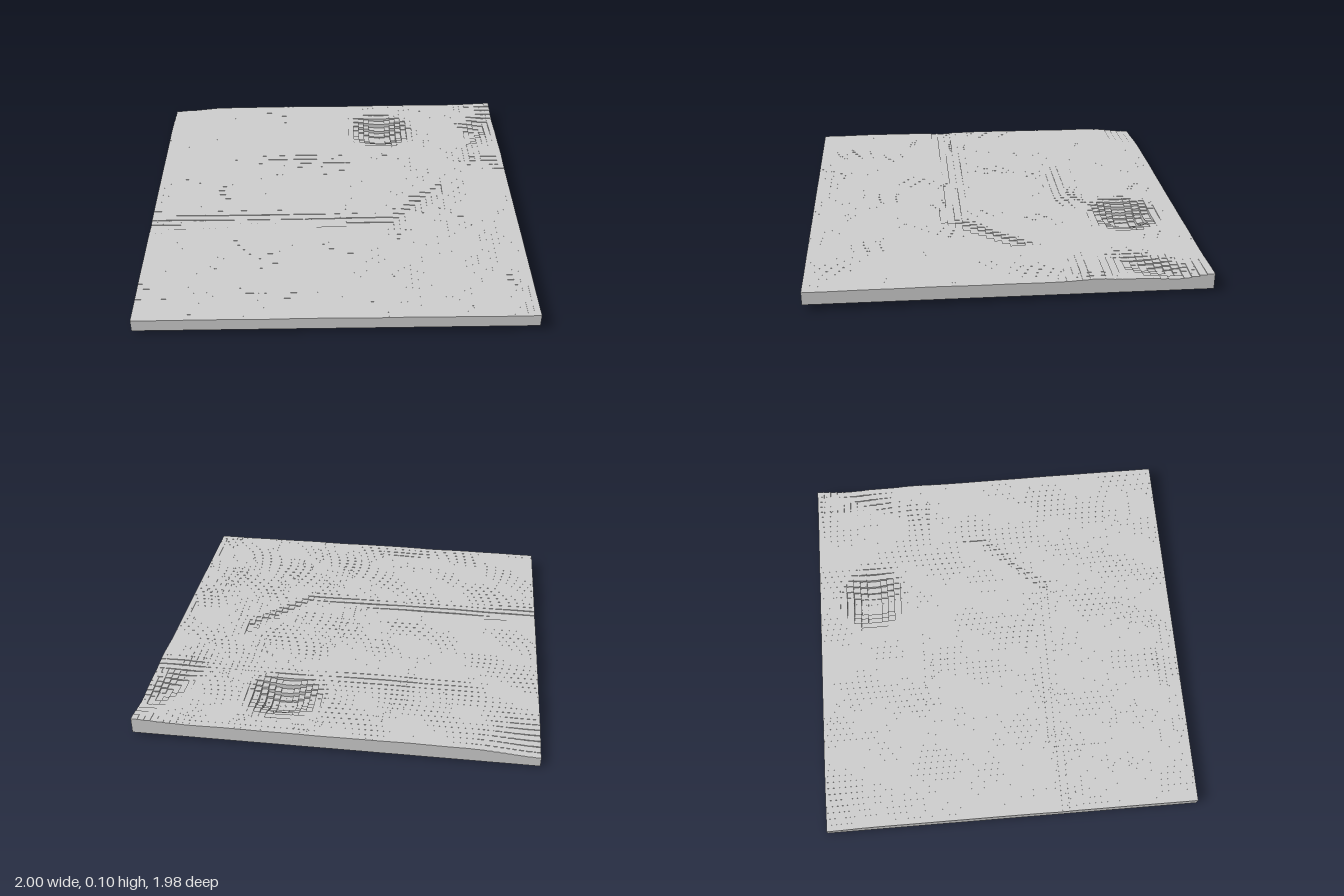
import * as THREE from 'three';

const COLS = 62, ROWS = 52, HALF_X = 1, HALF_Z = 0.99;
const OUTSIDE = 0.035; // level used beyond the border so rim walls close up

const bump = (x, z, cx, cz, rx, rz) =>
  Math.exp(-(((x - cx) / rx) ** 2) - ((z - cz) / rz) ** 2);

// Gently tilted underside
const underside = (x, z) => 0.017 + 0.008 * x + 0.009 * z;

// Rolling ground with a deep pit, a corner valley, ridges and a shallow gully
function ground(x, z) {
  let h = 0.087 + 0.008 * x + 0.006 * z;
  h += 0.0015 * Math.sin(7 * x + 2 * z) * Math.cos(6 * z - 3 * x);
  h += 0.001 * Math.sin(17 * x - 5 * z) * Math.sin(13 * z + 4 * x);
  const gullyZ = x < 0.3 ? 0.23 + 0.03 * Math.sin(4 * x) : 0.25 - 1.1 * (x - 0.3);
  if (x < 0.6) h -= 0.008 * Math.exp(-(((z - gullyZ) / 0.05) ** 2));
  h += 0.007 * bump(x, z, -0.2, -0.44, 0.3, 0.07);
  h += 0.010 * bump(x, z, 0.9, -0.42, 0.16, 0.09);
  h += 0.010 * bump(x, z, 1, -1, 0.15, 0.1);
  h -= 0.022 * bump(x, z, 0.9 + 0.5 * (-0.72 - z), -0.72, 0.07, 0.14);
  h -= 0.026 * bump(x, z, -1, -1, 0.22, 0.18);
  h -= 0.005 * bump(x, z, -0.25, 0.86, 0.12, 0.06);
  const r = Math.hypot((x - 0.29) / 0.135, (z + 0.69) / 0.125);
  h -= 0.074 * Math.exp(-(r ** 3));
  return h;
}

// Stepped slab: one flat cell per grid square, with risers between neighbours
function terrainGeometry() {
  const pos = [];
  const quad = (a, b, c, d) => pos.push(...a, ...b, ...c, ...a, ...c, ...d);
  const X = (i) => -HALF_X + (2 * HALF_X * i) / COLS;
  const Z = (j) => -HALF_Z + (2 * HALF_Z * j) / ROWS;
  const cell = (i, j) => {
    if (i < 0 || j < 0 || i >= COLS || j >= ROWS) return [OUTSIDE, OUTSIDE];
    const x = X(i + 0.5), z = Z(j + 0.5), top = ground(x, z);
    return [top, Math.min(underside(x, z), top - 0.004)];
  };
  // Walls face the lower side by themselves as the order of heights flips
  const wallX = (x, z0, z1, a, b) => {
    if (a !== b) quad([x, a, z1], [x, b, z1], [x, b, z0], [x, a, z0]);
  };
  const wallZ = (z, x0, x1, a, b) => {
    if (a !== b) quad([x0, a, z], [x0, b, z], [x1, b, z], [x1, a, z]);
  };

  for (let j = 0; j <= ROWS; j++) {
    for (let i = 0; i <= COLS; i++) {
      const x0 = X(i), x1 = X(i + 1), z0 = Z(j), z1 = Z(j + 1);
      const [top, low] = cell(i, j);
      if (i < COLS && j < ROWS) {
        quad([x0, top, z0], [x0, top, z1], [x1, top, z1], [x1, top, z0]);
        quad([x0, low, z0], [x1, low, z0], [x1, low, z1], [x0, low, z1]);
      }
      if (j < ROWS) {
        const [t, l] = cell(i - 1, j);
        wallX(x0, z0, z1, t, top);
        wallX(x0, z0, z1, low, l);
      }
      if (i < COLS) {
        const [t, l] = cell(i, j - 1);
        wallZ(z0, x0, x1, t, top);
        wallZ(z0, x0, x1, low, l);
      }
    }
  }
  const geometry = new THREE.BufferGeometry();
  geometry.setAttribute('position', new THREE.Float32BufferAttribute(pos, 3));
  geometry.computeVertexNormals();
  return geometry;
}

export function createModel() {
  const model = new THREE.Group();
  model.name = 'terrainTile';
  const slab = new THREE.Mesh(
    terrainGeometry(),
    new THREE.MeshStandardMaterial({ color: 0xcccccc, flatShading: true })
  );
  slab.name = 'steppedTerrain';
  model.add(slab);
  return model;
}
